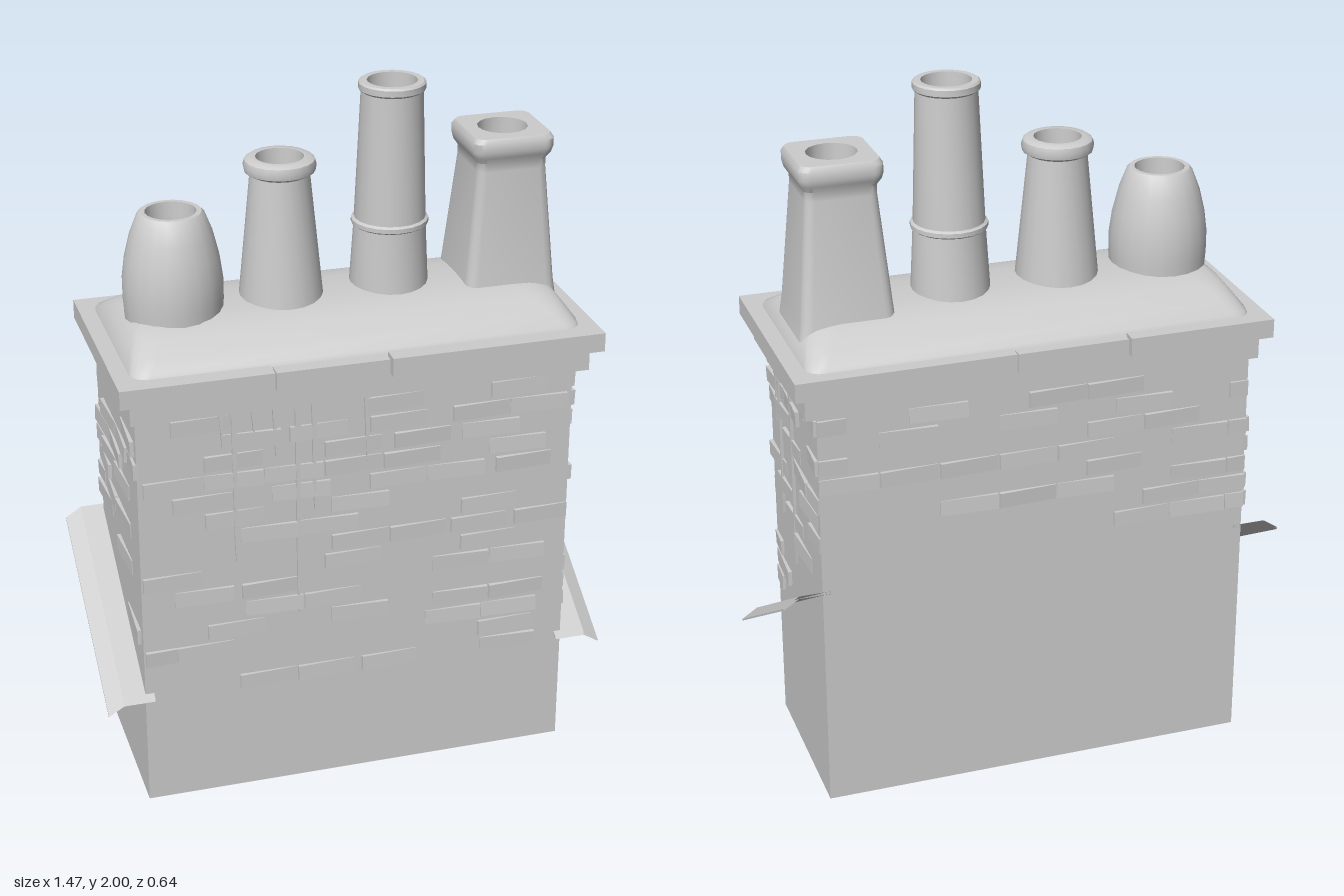
import * as THREE from 'three';
import { toCreasedNormals } from 'three/addons/utils/BufferGeometryUtils.js';

const stone = new THREE.MeshStandardMaterial({ color: 0xcccccc, side: THREE.DoubleSide });
stone.name = 'pale stone';

function add(parent, name, geometry) {
  const mesh = new THREE.Mesh(geometry, stone);
  mesh.name = name;
  parent.add(mesh);
  return mesh;
}

// Box given by its lower and upper limits on each axis
function slab(parent, name, x0, x1, y0, y1, z0, z1) {
  const mesh = add(parent, name, new THREE.BoxGeometry(x1 - x0, y1 - y0, z1 - z0));
  mesh.position.set((x0 + x1) / 2, (y0 + y1) / 2, (z0 + z1) / 2);
  return mesh;
}

// Horizontal rounded rectangle, counter-clockwise from above
function roundedRing(cx, cz, hx, hz, r, y, n = 4) {
  const points = [];
  [[1, 1], [-1, 1], [-1, -1], [1, -1]].forEach(([sx, sz], k) => {
    for (let i = 0; i <= n; i++) {
      const a = (k + i / n) * Math.PI / 2;
      points.push([cx + sx * (hx - r) + r * Math.cos(a), y, cz - sz * (hz - r) - r * Math.sin(a)]);
    }
  });
  return points;
}

// Skin over a stack of equal-length rings
function loft(rings, crease = 0.7) {
  const n = rings[0].length, index = [];
  for (let i = 0; i < rings.length - 1; i++) {
    for (let j = 0; j < n; j++) {
      const a = i * n + j, b = i * n + (j + 1) % n;
      index.push(a, b, b + n, a, b + n, a + n);
    }
  }
  const g = new THREE.BufferGeometry();
  g.setAttribute('position', new THREE.Float32BufferAttribute(rings.flat(2), 3));
  g.setIndex(index);
  return toCreasedNormals(g, crease);
}

// Round pot turned from a profile, with a sunk flue
function roundPot(parent, name, x, z, profile, hole, lean = 0) {
  const top = profile[profile.length - 1][1];
  const points = [...profile, [hole, top], [hole - 0.004, top - 0.14], [0, top - 0.14]];
  const g = new THREE.LatheGeometry(points.map(p => new THREE.Vector2(...p)), 20);
  const p = g.attributes.position;
  for (let i = 0; i < p.count; i++) p.setZ(i, p.getZ(i) + lean * (p.getY(i) - 1.4));
  add(parent, name, toCreasedNormals(g, 0.7)).position.set(x, 0, z);
}

export function createModel() {
  const model = new THREE.Group();
  model.name = 'chimneyStack';
  let seed = 7;
  const random = () => (seed = (seed * 16807) % 2147483647) / 2147483647;

  // Stack, open underneath
  const X0 = -0.625, X1 = 0.62, Z0 = -0.275, Z1 = 0.255;
  const shell = new THREE.Shape([[X0, -Z0], [X0, -Z1], [X1, -Z1], [X1, -Z0]].map(p => new THREE.Vector2(...p)));
  const corners = shell.getPoints().map(p => [p.x, p.y]);
  add(model, 'stackWalls', loft([0, 1.27].map(y => corners.map(([x, mz]) => [x, y, -mz])), 0.3));

  // Each wall gets a frame whose local x runs along it and z points outwards
  function wall(name, x, z, turn) {
    const g = new THREE.Group();
    g.name = name;
    g.position.set(x, 0, z);
    g.rotation.y = turn;
    model.add(g);
    return g;
  }
  const front = wall('frontBricks', 0, Z1, 0);
  const back = wall('backBricks', 0, Z0, Math.PI);
  const right = wall('sideBricksPlusX', X1, 0, Math.PI / 2);
  const left = wall('sideBricksMinusX', X0, 0, -Math.PI / 2);

  // Proud bricks, each swung a little so that one end fades into the wall
  function brick(parent, start, end, y) {
    const mesh = add(parent, 'brick', new THREE.BoxGeometry(end - start, 0.045, 0.014));
    mesh.position.set((start + end) / 2, y, 0);
    mesh.rotation.y = (random() < 0.5 ? -1 : 1) * 0.05;
    mesh.rotation.x = (random() - 0.5) * 0.1;
  }

  // Front courses from the top down: where each brick starts
  const courses = [
    [-0.6, -0.1, 0.27, 0.44], [-0.53, 0.02, 0.38], [-0.39, -0.2, 0.03, 0.27, 0.44],
    [-0.44, -0.1, 0.1, 0.3], [-0.61, -0.44, -0.27, -0.1, 0.07, 0.38], [-0.53, -0.25, 0.03, 0.2, 0.4],
    [-0.44, -0.08], [-0.34, -0.17, 0.3], [-0.08, 0.09, 0.27, 0.46], [-0.62, -0.1, 0.3],
    [-0.53, -0.34, 0.22, 0.39], [-0.33, -0.16], [-0.44, -0.08, 0.22, 0.39],
    [-0.62, -0.53, 0.2, 0.37], [0.36], [-0.35, -0.18, 0.01, 0.37],
  ];
  courses.forEach((row, i) => row.forEach(x => brick(front, x, Math.min(x + 0.165, 0.62), 1.226 - i * 0.0585)));

  // Scattered courses on the other walls, ending along a sloping line
  function scatter(parent, from, to, lowest, density) {
    for (let i = 0; i < 15; i++) {
      const y = 1.226 - i * 0.0585;
      for (let s = from - (i % 2) * 0.085; s < to - 0.04; s += 0.17) {
        const a = Math.max(s, from), b = Math.min(s + 0.165, to);
        if (random() < density && y > Math.max(lowest(a), lowest(b))) brick(parent, a, b, y);
      }
    }
  }
  scatter(back, -X1, -X0, u => 0.8 - 0.22 * u, 0.6);
  scatter(right, -Z1, -Z0, u => 0.56 + 0.62 * u, 0.55);
  scatter(left, Z0, Z1, u => 0.56 - 0.62 * u, 0.55);

  // Mortar runs trickling down from under the cap
  function trickle(parent, x, bottom) {
    const s = new THREE.Shape();
    s.moveTo(x - 0.008, 1.2);
    s.lineTo(x - 0.003, bottom + 0.05);
    s.lineTo(x, bottom);
    s.lineTo(x + 0.003, bottom + 0.05);
    s.lineTo(x + 0.008, 1.2);
    add(parent, 'mortarRun', new THREE.ExtrudeGeometry(s, { depth: 0.009, bevelEnabled: false }));
  }
  [[-0.39, 1.1], [-0.355, 0.74], [-0.3, 1.1], [-0.24, 1.05], [-0.177, 0.55], [-0.13, 0.87], [0.02, 1]]
    .forEach(([x, y]) => trickle(front, x, y));
  [[-0.16, 1], [-0.13, 0.72], [0, 0.62]].forEach(([x, y]) => trickle(right, x, y));

  // Stepped cap: lower band and segmented coping
  slab(model, 'lowerBand', -0.643, 0.655, 1.205, 1.272, -0.298, 0.288);
  for (const s of [-1, 1]) {
    [[-0.675, -0.254, 0.322], [-0.248, 0.068, 0.314], [0.074, 0.685, 0.322]].forEach(([a, b, z], i) => {
      const dy = i === 1 ? -0.004 : 0;
      slab(model, 'copingSlab', a, b, 1.272 + dy, 1.326 + dy, Math.min(s * 0.24, s * z), Math.max(s * 0.24, s * z));
    });
  }
  slab(model, 'copingEnd', -0.675, -0.58, 1.272, 1.326, -0.24, 0.24);
  slab(model, 'copingEnd', 0.59, 0.685, 1.272, 1.326, -0.24, 0.24);
  slab(model, 'copingCore', -0.6, 0.6, 1.265, 1.318, -0.26, 0.26);

  // Domed mortar bed holding the pots
  const bed = [[0.636, 0.278, 0.04, 1.315], [0.632, 0.27, 0.05, 1.335], [0.615, 0.225, 0.06, 1.363],
    [0.595, 0.175, 0.07, 1.393], [0.57, 0.13, 0.08, 1.41], [0.48, 0.07, 0.06, 1.417], [0.3, 0, 0, 1.42]];
  add(model, 'mortarBed', loft(bed.map(([hx, hz, r, y]) => roundedRing(0.005, -0.005, hx, hz, r, y)), 1));

  // Round pots
  roundPot(model, 'barrelPot', -0.455, 0.003,
    [[0.134, 1.38], [0.138, 1.44], [0.138, 1.5], [0.13, 1.56], [0.114, 1.625], [0.092, 1.682], [0.084, 1.69]], 0.07);
  roundPot(model, 'taperedPot', -0.15, -0.003,
    [[0.12, 1.38], [0.082, 1.765], [0.097, 1.774], [0.1, 1.79], [0.096, 1.805], [0.085, 1.812]], 0.066);
  roundPot(model, 'tallPot', 0.163, -0.012,
    [[0.112, 1.38], [0.1, 1.588], [0.107, 1.593], [0.107, 1.605], [0.099, 1.61], [0.085, 1.972],
      [0.092, 1.978], [0.092, 1.995], [0.087, 2]], 0.069, 0.03);

  // Square pot with a round flue
  const square = [[0.137, 0.03, 1.36], [0.13, 0.03, 1.41], [0.1, 0.025, 1.74], [0.1, 0.025, 1.765],
    [0.112, 0.03, 1.783], [0.116, 0.03, 1.8], [0.116, 0.03, 1.825], [0.108, 0.03, 1.838],
    [0.07, 0.07, 1.838], [0.067, 0.067, 1.7], [0, 0, 1.7]];
  add(model, 'squarePot', loft(square.map(([h, r, y]) =>
    roundedRing(0.486, -0.02 + 0.03 * (y - 1.36), h, h, r, y))));

  // Sloping flashing strips on both sides, bent down at the outer edge
  for (const s of [-1, 1]) {
    const section = [[0.6, 0], [0.69, 0], [0.735, -0.03], [0.735, -0.036], [0.69, -0.008], [0.6, -0.008]];
    const ring = (z, y) => section.map(([x, d]) => [s * x, y + d, z]);
    add(model, 'flashing', loft([ring(0.272, 0.342), ring(-0.29, 0.682)], 0.4));
  }
  return model;
}
